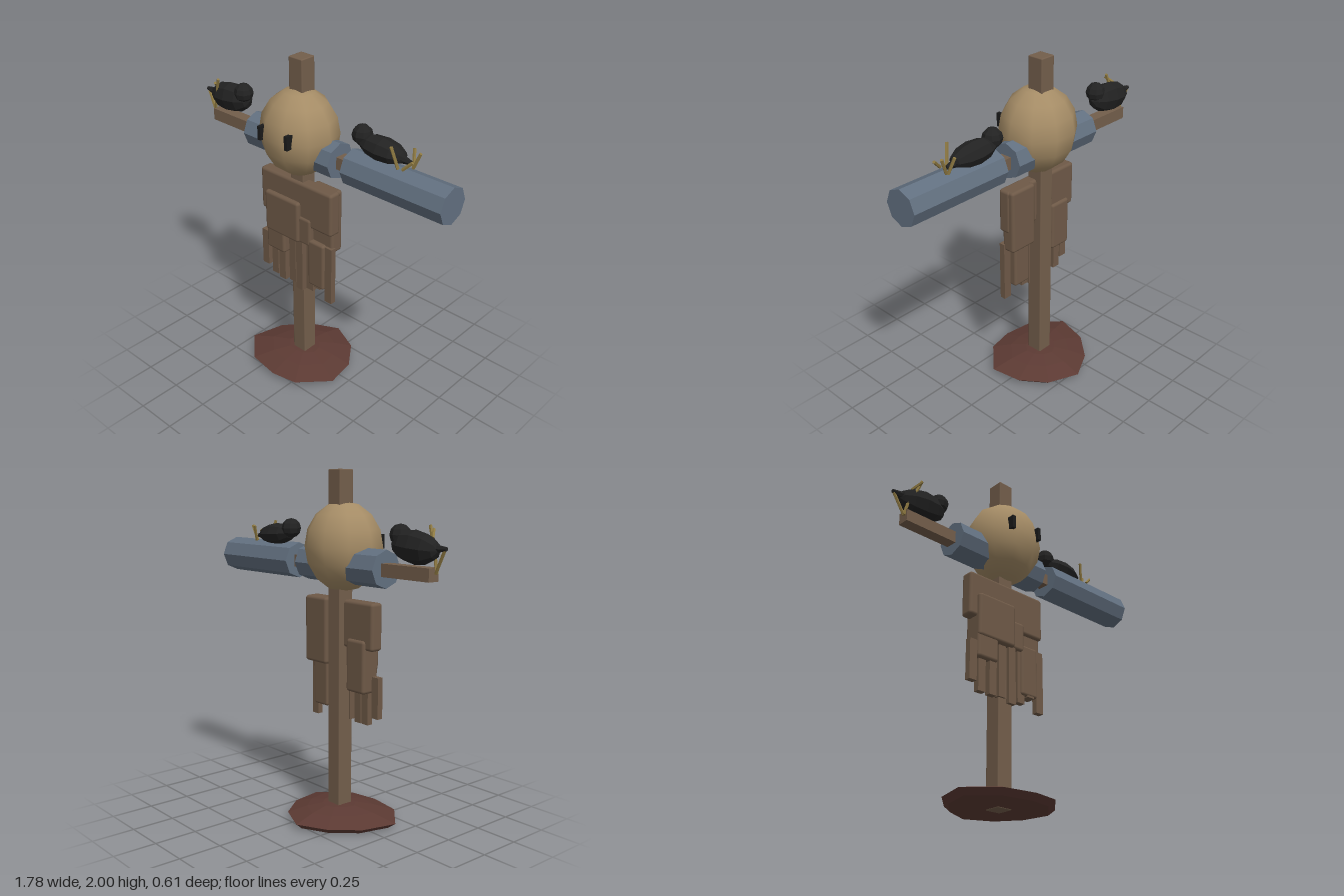
import * as THREE from 'three';
import { RoundedBoxGeometry } from 'three/addons/geometries/RoundedBoxGeometry.js';

export function createModel() {
  const root = new THREE.Group();
  root.name = 'scarecrow';
  const mat = (name, color, flatShading = false) => {
    const m = new THREE.MeshStandardMaterial({ color, flatShading });
    m.name = name;
    return m;
  };
  const wood = mat('wood', 0x735e4b);
  const rag = mat('ragCloth', 0x6e5947);
  const burlap = mat('burlap', 0xa58c66);
  const cloth = mat('sleeveBlue', 0x627080, true);
  const soil = mat('soil', 0x5c3a33, true);
  const feather = mat('featherBlack', 0x222222, true);
  const claw = mat('clawYellow', 0x8f7a42, true);
  const eyeBlack = mat('eyeBlack', 0x1a1a1a);

  const add = (name, geo, material, parent = root) => {
    const m = new THREE.Mesh(geo, material);
    m.name = name;
    parent.add(m);
    return m;
  };
  // Box given by its extents, with optionally rounded edges
  const box = (name, material, [x0, x1], [y0, y1], [z0, z1], r = 0) => {
    const s = [x1 - x0, y1 - y0, z1 - z0];
    const geo = r ? new RoundedBoxGeometry(...s, 2, r) : new THREE.BoxGeometry(...s);
    const m = add(name, geo, material);
    m.position.set((x0 + x1) / 2, (y0 + y1) / 2, (z0 + z1) / 2);
    return m;
  };
  // Tapered rod between two points
  const rod = (name, material, a, b, ra, rb, sides, parent) => {
    const p = new THREE.Vector3(...a), q = new THREE.Vector3(...b);
    const m = add(name, new THREE.CylinderGeometry(rb, ra, p.distanceTo(q), sides), material, parent);
    m.position.copy(p).lerp(q, 0.5);
    m.quaternion.setFromUnitVectors(new THREE.Vector3(0, 1, 0), q.sub(p).normalize());
    return m;
  };

  // Mound: irregular outline repeated at several heights
  const outline = [[0, -0.31], [0.18, -0.23], [0.29, -0.08], [0.32, 0.105], [0.16, 0.27],
    [0, 0.3], [-0.195, 0.27], [-0.355, 0.12], [-0.3, -0.08], [-0.17, -0.225]];
  const rings = [[0.01, 0.005], [0.88, 0.005], [1, 0.037], [0.62, 0.074], [0.3, 0.094], [0.01, 0.097]];
  const pos = [], idx = [], n = outline.length;
  for (const [s, y] of rings) for (const [x, z] of outline) pos.push(x * s - 0.112, y, z * s);
  for (let r = 0; r < rings.length - 1; r++) {
    for (let i = 0; i < n; i++) {
      const a = r * n + i, b = r * n + (i + 1) % n;
      idx.push(b, a, a + n, b, a + n, b + n);
    }
  }
  const moundGeo = new THREE.BufferGeometry();
  moundGeo.setAttribute('position', new THREE.Float32BufferAttribute(pos, 3));
  moundGeo.setIndex(idx);
  moundGeo.computeVertexNormals();
  add('mound', moundGeo, soil);

  // Wooden cross
  box('pole', wood, [-0.16, -0.063], [0, 2], [-0.035, 0.063], 0.006);
  box('crossbar', wood, [-0.81, 0.6], [1.445, 1.515], [-0.025, 0.045]);

  // Octagonal sleeves
  for (const [x0, x1] of [[-0.475, 0.165], [0.25, 0.89]]) {
    rod('sleeve', cloth, [x0, 1.482, 0.013], [x1, 1.482, 0.013], 0.103, 0.103, 8);
  }

  // Head and eyes
  const head = add('head', new THREE.SphereGeometry(1, 10, 8), burlap);
  head.scale.set(0.23, 0.25, 0.215);
  head.position.set(-0.112, 1.58, 0.035);
  for (const s of [-1, 1]) {
    const x = -0.112 + s * 0.099;
    box('eye', eyeBlack, [x - 0.011, x + 0.011], [1.565, 1.645], [0.19, 0.245]);
  }

  // Overlapping rag panels of the coat
  box('coatYoke', rag, [-0.385, 0.16], [1.025, 1.29], [0, 0.08], 0.018);
  box('frontPanel', rag, [-0.335, -0.07], [0.905, 1.165], [0.045, 0.105], 0.018);
  box('middlePanel', rag, [-0.2, 0.01], [0.905, 1.08], [0.02, 0.09], 0.018);
  box('sidePanel', rag, [-0.335, -0.19], [0.78, 1.08], [-0.015, 0.098], 0.018);
  box('backPanel', rag, [-0.03, 0.155], [0.905, 1.29], [-0.025, 0.06], 0.018);
  box('lowerPanel', rag, [-0.01, 0.11], [0.65, 0.95], [0.003, 0.088], 0.015);

  // Ragged hem strips: centre x, bottom, top
  const strips = [[-0.36, 0.64, 0.875], [-0.29, 0.595, 0.9], [-0.22, 0.59, 0.92], [-0.145, 0.6, 0.93],
    [-0.08, 0.575, 0.94], [-0.006, 0.6, 0.92], [0.06, 0.645, 0.93], [0.138, 0.575, 0.945]];
  strips.forEach(([x, y0, y1], i) => {
    const z = i % 2 ? 0.04 : 0.05;
    box('hemStrip', rag, [x - 0.025, x + 0.025], [y0, y1], [z, z + 0.035]);
  });

  // Crows: body, head, beakless rounded face, tail and stick legs
  const crow = (name, body, radii, tilt, headAt, tail, legs) => {
    const g = new THREE.Group();
    g.name = name;
    root.add(g);
    const b = add('crowBody', new THREE.SphereGeometry(1, 8, 6).rotateZ(Math.PI / 2), feather, g);
    b.scale.set(...radii);
    b.rotation.z = tilt;
    b.position.set(...body);
    const h = add('crowHead', new THREE.SphereGeometry(0.057, 8, 6), feather, g);
    h.position.set(...headAt);
    rod('crowTail', feather, tail[0], tail[1], 0.028, 0.011, 6, g);
    for (const [p, q] of legs) rod('crowLeg', claw, p, q, 0.009, 0.009, 5, g);
  };
  crow('rightCrow', [-0.69, 1.61, 0.003], [0.155, 0.088, 0.077], 0.08, [-0.577, 1.667, 0.01],
    [[-0.79, 1.608, 0.01], [-0.89, 1.612, 0.01]], [
      [[-0.88, 1.605, 0.01], [-0.815, 1.485, 0.02]],
      [[-0.785, 1.62, 0.035], [-0.817, 1.485, 0.025]],
      [[-0.765, 1.635, 0.05], [-0.735, 1.72, 0.06]],
      [[-0.78, 1.66, 0.03], [-0.745, 1.7, 0.075]],
    ]);
  crow('leftCrow', [0.425, 1.628, -0.015], [0.15, 0.063, 0.077], -0.06, [0.29, 1.667, -0.015],
    [[0.53, 1.615, -0.015], [0.61, 1.61, -0.015]], [
      [[0.535, 1.7, 0.06], [0.565, 1.58, 0.035]],
      [[0.592, 1.67, -0.06], [0.613, 1.58, -0.03]],
      [[0.652, 1.67, -0.03], [0.617, 1.58, -0.02]],
      [[0.6, 1.59, 0.045], [0.65, 1.64, 0.03]],
    ]);

  return root;
}
